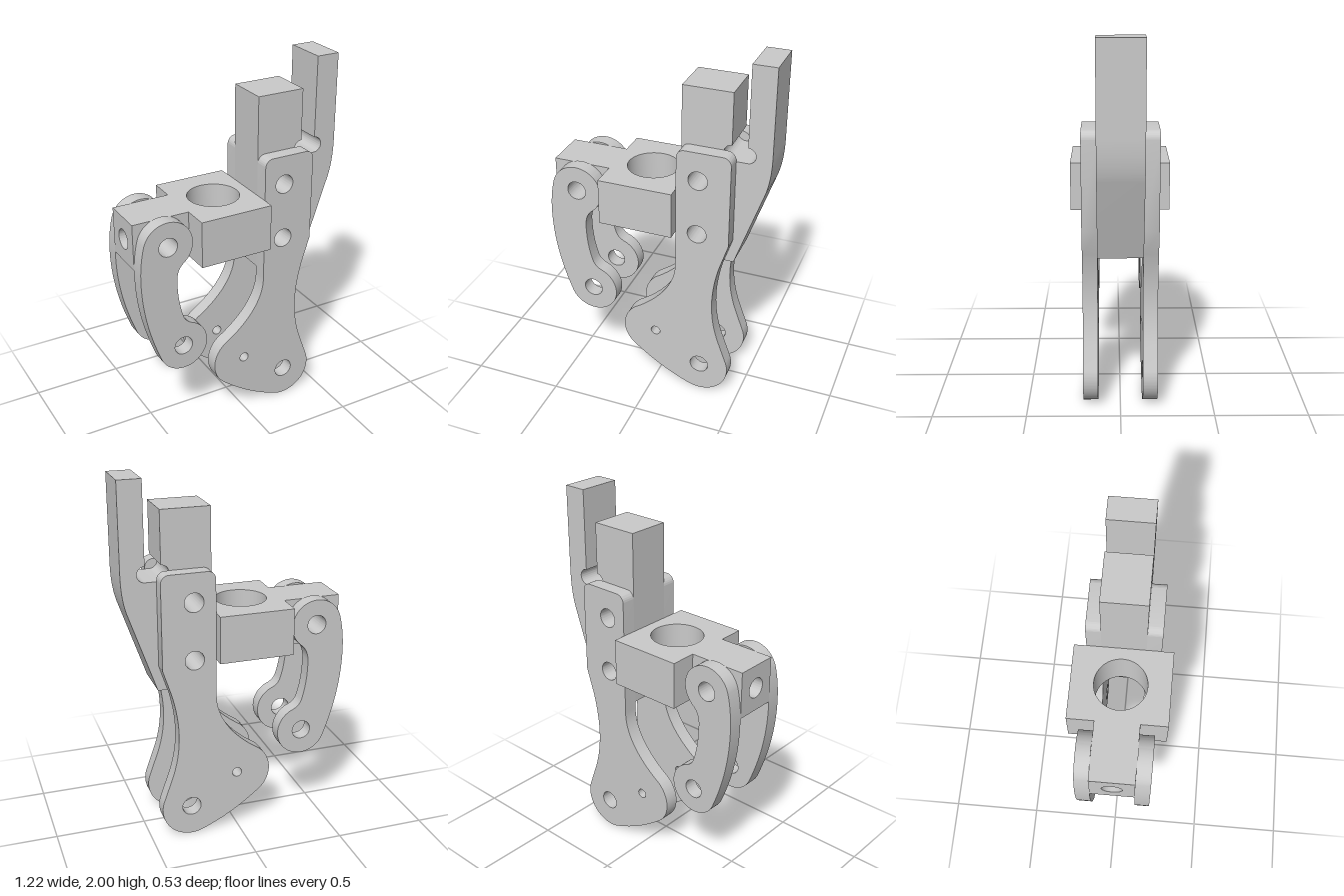
import * as THREE from 'three';
import { toCreasedNormals } from 'three/addons/utils/BufferGeometryUtils.js';

const D = Math.PI / 180;
const HOLE = 0.053;

function drill(shape, holes) {
  for (const [x, y, r] of holes) {
    const p = new THREE.Path();
    p.absarc(x, y, r, 0, Math.PI * 2, false);
    shape.holes.push(p);
  }
  return shape;
}

function extrude(shape, depth) {
  const g = new THREE.ExtrudeGeometry(shape, { depth, bevelEnabled: false, curveSegments: 28 });
  return toCreasedNormals(g, 0.5);
}

function rect(x0, y0, x1, y1) {
  return new THREE.Shape([[x0, y0], [x1, y0], [x1, y1], [x0, y1]].map(([x, y]) => new THREE.Vector2(x, y)));
}

// Tall lever plate with a two-lobed foot
function plateShape() {
  const s = new THREE.Shape();
  s.moveTo(0.123, 0.82);
  s.lineTo(0.123, 1.475);
  s.absarc(0.168, 1.475, 0.045, 180 * D, 90 * D, true);
  s.lineTo(0.373, 1.52);
  s.absarc(0.373, 1.475, 0.045, 90 * D, 0, true);
  s.lineTo(0.418, 1.0);
  s.lineTo(0.373, 0.86);
  s.bezierCurveTo(0.323, 0.68, 0.323, 0.52, 0.378, 0.36);
  s.lineTo(0.423, 0.235);
  s.absarc(0.27, 0.167, 0.167, 24 * D, -112 * D, true);
  s.quadraticCurveTo(0.03, 0.08, -0.126, 0.211);
  s.absarc(-0.02, 0.337, 0.165, 230 * D, 128 * D, true);
  s.bezierCurveTo(0.02, 0.557, 0.123, 0.68, 0.123, 0.82);
  return drill(s, [[0.242, 1.36, HOLE], [0.242, 1.04, HOLE], [0.005, 0.337, 0.027], [0.27, 0.17, HOLE]]);
}

// Curved link with a round eye at each end
function linkShape() {
  const s = new THREE.Shape();
  s.moveTo(-0.61, 1.0);
  s.quadraticCurveTo(-0.61, 1.1, -0.588, 1.19);
  s.absarc(-0.45, 1.16, 0.141, 168 * D, -52 * D, true);
  s.quadraticCurveTo(-0.4, 1.02, -0.404, 0.96);
  s.quadraticCurveTo(-0.405, 0.83, -0.373, 0.73);
  s.quadraticCurveTo(-0.362, 0.692, -0.325, 0.674);
  s.absarc(-0.375, 0.541, 0.142, 69 * D, -160 * D, true);
  s.quadraticCurveTo(-0.61, 0.75, -0.61, 1.0);
  return drill(s, [[-0.45, 1.16, HOLE], [-0.375, 0.541, HOLE]]);
}

// Centre body with a slot that ends in a rounded pocket
function bodyShape() {
  const s = new THREE.Shape();
  s.moveTo(0.123, 0.86);
  s.lineTo(0.425, 0.86);
  s.lineTo(0.576, 1.3);
  s.quadraticCurveTo(0.606, 1.388, 0.606, 1.52);
  s.lineTo(0.606, 2);
  s.lineTo(0.477, 2);
  s.lineTo(0.477, 1.553);
  s.absarc(0.477, 1.51, 0.043, 90 * D, -90 * D, true);
  s.lineTo(0.393, 1.467);
  s.absarc(0.393, 1.51, 0.043, 270 * D, 90 * D, true);
  s.lineTo(0.393, 1.84);
  s.lineTo(0.123, 1.84);
  s.closePath();
  return drill(s, [[0.242, 1.36, HOLE], [0.242, 1.04, HOLE]]);
}

export function createModel() {
  const group = new THREE.Group();
  const steel = new THREE.MeshStandardMaterial({ color: 0xcacaca });
  steel.name = 'grey steel';

  const add = (name, geometry) => {
    const m = new THREE.Mesh(geometry, steel);
    m.name = name;
    group.add(m);
  };

  add('slottedBody', extrude(bodyShape(), 0.24).translate(0, 0, -0.12));

  // Paired plates and links on both sides of the body
  for (const [side, z] of [['front', 0.12], ['back', -0.2]]) {
    add(side + 'LeverPlate', extrude(plateShape(), 0.08).translate(0, 0, z));
    add(side + 'Link', extrude(linkShape(), 0.08).translate(0, 0, z));
  }

  // Wide block with a vertical bore
  const block = drill(rect(-0.29, -0.266, 0.123, 0.266), [[-0.08, 0, 0.142]]);
  add('boredBlock', extrude(block, 0.26).rotateX(-Math.PI / 2).translate(0, 1.03, 0));

  // Arm with a cross hole for the link pin
  const arm = drill(rect(-0.51, 1.03, -0.29, 1.29), [[-0.45, 1.16, HOLE]]);
  add('linkArm', extrude(arm, 0.24).translate(0, 0, -0.12));

  // Arm end with a hole in its end face
  const end = drill(rect(-0.12, 1.03, 0.12, 1.29), [[0, 1.16, 0.055]]);
  add('armEnd', extrude(end, 0.1).rotateY(Math.PI / 2).translate(-0.61, 0, 0));

  return group;
}
